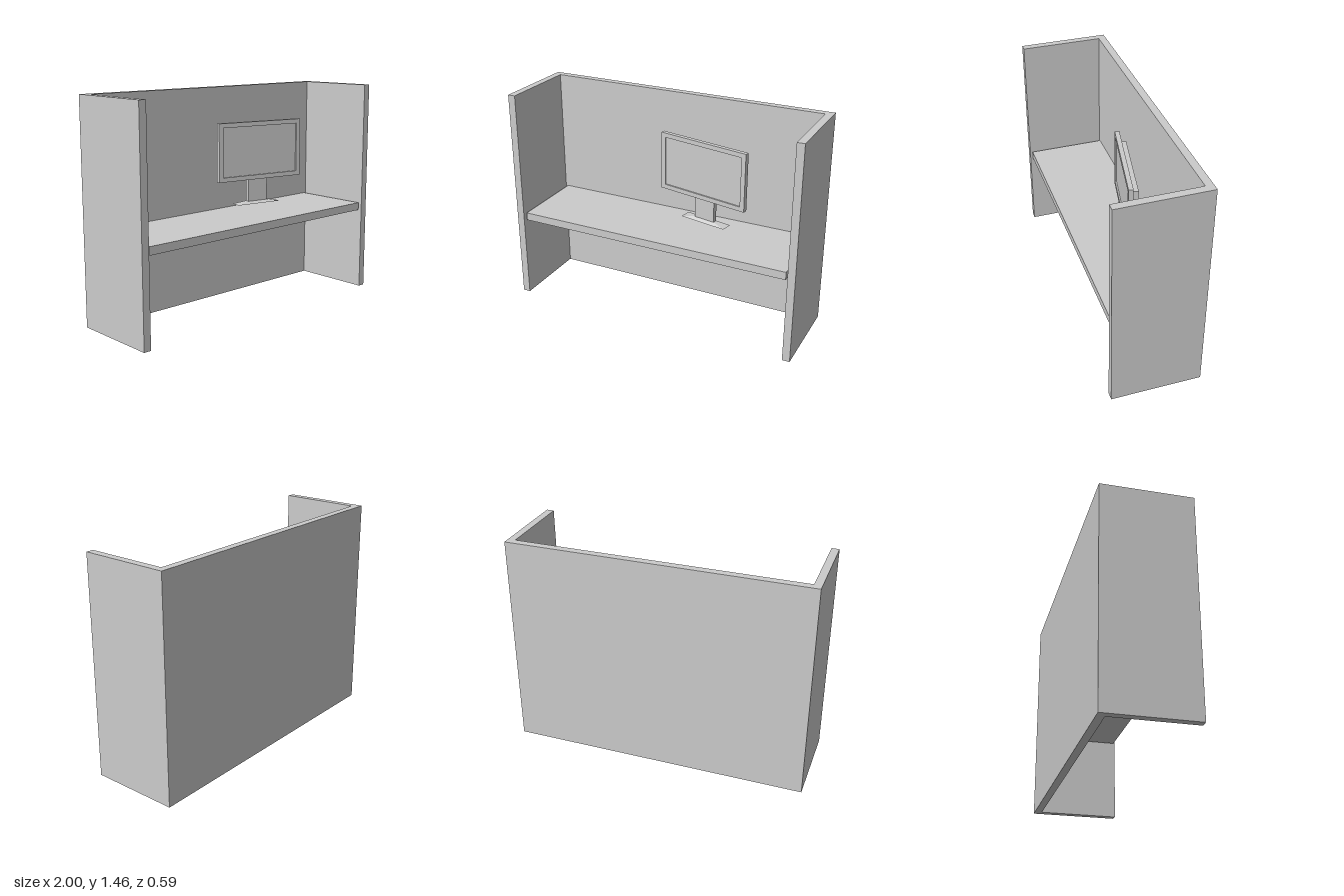
import * as THREE from 'three';

const material = new THREE.MeshStandardMaterial({ color: 0xcccccc, flatShading: true });

function addMesh(parent, name, geometry, x = 0, y = 0, z = 0) {
  const mesh = new THREE.Mesh(geometry, material);
  mesh.name = name;
  mesh.position.set(x, y, z);
  parent.add(mesh);
  return mesh;
}

// Box given by its minimum and maximum corners
function addBox(parent, name, [x0, y0, z0], [x1, y1, z1]) {
  return addMesh(parent, name, new THREE.BoxGeometry(x1 - x0, y1 - y0, z1 - z0),
    (x0 + x1) / 2, (y0 + y1) / 2, (z0 + z1) / 2);
}

function rectangle(PathType, w, h) {
  return new PathType([[-w, -h], [w, -h], [w, h], [-w, h]]
    .map(([x, y]) => new THREE.Vector2(x / 2, y / 2)));
}

function createPartition() {
  // U-shaped plan; shape y becomes -z once the extrusion stands upright
  const X = 1, Z = 0.296, T = 0.05;
  const plan = new THREE.Shape([
    [-X, -Z], [-X + T, -Z], [-X + T, Z - T], [X - T, Z - T],
    [X - T, -Z], [X, -Z], [X, Z], [-X, Z],
  ].map(([x, y]) => new THREE.Vector2(x, y)));
  return new THREE.ExtrudeGeometry(plan, { depth: 1.455, bevelEnabled: false }).rotateX(-Math.PI / 2);
}

function createMonitor() {
  const monitor = new THREE.Group();
  monitor.name = 'monitor';

  // Bezel frame around a recessed screen
  const midY = 1.032;
  const bezel = rectangle(THREE.Shape, 0.652, 0.392);
  bezel.holes.push(rectangle(THREE.Path, 0.589, 0.332));
  addMesh(monitor, 'screenFrame',
    new THREE.ExtrudeGeometry(bezel, { depth: 0.03, bevelEnabled: false }), 0, midY, -0.03);
  addBox(monitor, 'screen', [-0.295, midY - 0.166, -0.03], [0.295, midY + 0.166, -0.01]);

  // Rear housing and neck
  addBox(monitor, 'rearHousing', [-0.277, midY - 0.148, -0.068], [0.277, midY + 0.148, -0.03]);
  addBox(monitor, 'neck', [-0.075, 0.68, -0.066], [0.075, 0.9, -0.036]);

  // Foot: a slab whose top tapers to the neck's footprint
  const foot = new THREE.BoxGeometry(0.335, 0.016, 0.08);
  const p = foot.attributes.position;
  for (let i = 0; i < p.count; i++) {
    if (p.getY(i) > 0) {
      p.setX(i, Math.sign(p.getX(i)) * 0.075);
      p.setZ(i, Math.sign(p.getZ(i)) * 0.015);
    }
  }
  foot.computeVertexNormals();
  addMesh(monitor, 'foot', foot, 0, 0.672, -0.053);

  // Turned slightly toward the model's right
  monitor.position.set(0.241, 0, -0.013);
  monitor.rotation.y = -0.196;
  return monitor;
}

export function createModel() {
  const model = new THREE.Group();
  model.name = 'deskCubicle';
  addMesh(model, 'partitionWalls', createPartition());
  addBox(model, 'desktop', [-0.935, 0.565, -0.246], [0.935, 0.618, 0.282]);
  model.add(createMonitor());
  return model;
}
